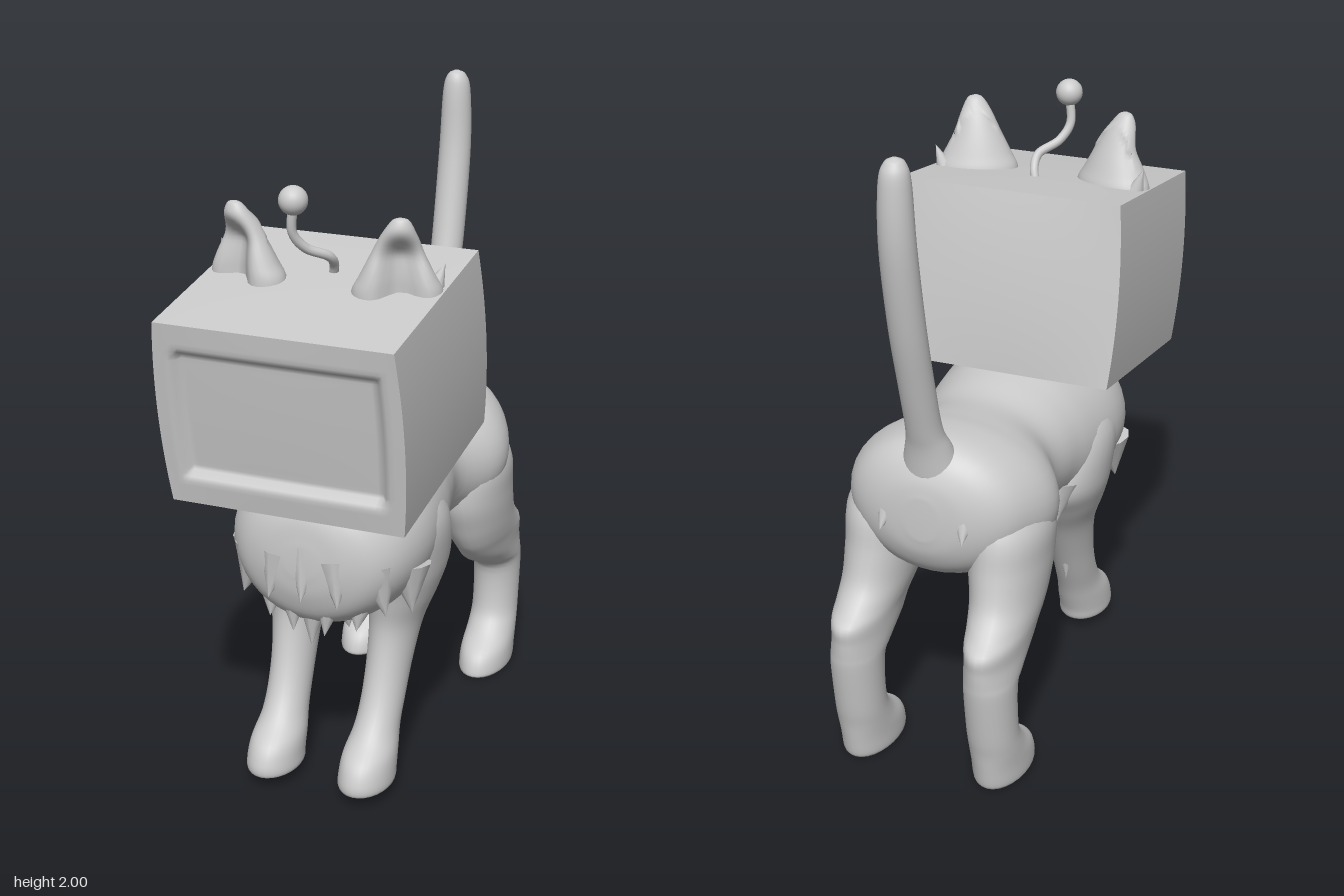
import * as THREE from 'three';

const material = new THREE.MeshStandardMaterial({ color: 0xcccccc });

function add(parent, name, geometry) {
  const mesh = new THREE.Mesh(geometry, material);
  mesh.name = name;
  parent.add(mesh);
  return mesh;
}

// Smooth skin over elliptical rings. Each row: [along, bMax, bMin, xMin, xMax].
// axis 'y': rings lie flat, rows run top to bottom, b is z.
// axis 'z': rings stand upright, rows run back to front, b is y.
function loft(rows, axis = 'y', side = 1, sides = 28, steps = 5) {
  const curve = (f) => new THREE.CatmullRomCurve3(rows.map(f), false, 'catmullrom', 0.5);
  const mid = curve(([h, b1, b0, x0, x1]) => new THREE.Vector3(side * (x0 + x1) / 2, h, (b1 + b0) / 2));
  const radius = curve(([, b1, b0, x0, x1]) => new THREE.Vector3((x1 - x0) / 2, 0, (b1 - b0) / 2));
  const n = (rows.length - 1) * steps;
  const pos = [], index = [];
  const put = (x, h, b) => (axis === 'y' ? pos.push(x, h, b) : pos.push(x, b, h));
  for (let i = 0; i <= n; i++) {
    const m = mid.getPoint(i / n), r = radius.getPoint(i / n);
    for (let j = 0; j < sides; j++) {
      const a = (j / sides) * Math.PI * 2;
      put(m.x + r.x * Math.cos(a), m.y, m.z + r.z * Math.sin(a));
      if (i === n) continue;
      const k = i * sides, p = k + j, q = k + ((j + 1) % sides);
      index.push(p, q, p + sides, q, q + sides, p + sides);
    }
  }
  // End caps
  const start = pos.length / 3, last = n * sides;
  for (const t of [0, 1]) {
    const m = mid.getPoint(t);
    put(m.x, m.y, m.z);
  }
  for (let j = 0; j < sides; j++) {
    const k = (j + 1) % sides;
    index.push(start, k, j, start + 1, last + j, last + k);
  }
  const g = new THREE.BufferGeometry();
  g.setAttribute('position', new THREE.Float32BufferAttribute(pos, 3));
  g.setIndex(index);
  g.computeVertexNormals();
  return g;
}

// Move every vertex by a rule
function reshape(g, rule) {
  const p = g.attributes.position, v = new THREE.Vector3();
  for (let i = 0; i < p.count; i++) {
    rule(v.fromBufferAttribute(p, i));
    p.setXYZ(i, v.x, v.y, v.z);
  }
  g.computeVertexNormals();
  return g;
}

// Pointed lock of fur from root to tip
function tuft(parent, root, tip, r) {
  const a = new THREE.Vector3(...root), d = new THREE.Vector3(...tip).sub(a);
  const len = d.length();
  const g = new THREE.ConeGeometry(r, len, 10, 3).translate(0, len / 2, 0);
  const mesh = add(parent, 'furTuft', g);
  mesh.position.copy(a);
  mesh.quaternion.setFromUnitVectors(new THREE.Vector3(0, 1, 0), d.normalize());
}

function buildHead() {
  const head = new THREE.Group();
  head.name = 'boxHead';
  const hx = 0.357, hy = 0.285, hz = 0.338;
  const g = new THREE.BoxGeometry(hx * 2, hy * 2, hz * 2, 48, 40, 12);
  reshape(g, (v) => {
    const u = 1 - (v.x / hx) ** 2, w = 1 - (v.y / hy) ** 2, d = 1 - (v.z / hz) ** 2;
    const front = v.z > hz - 0.001;
    // Recessed screen inside the front rim
    const edge = Math.min(0.305 - Math.abs(v.x), 0.205 - Math.abs(v.y));
    const sunk = front ? 0.028 * THREE.MathUtils.smoothstep(edge, 0, 0.022) : 0;
    const x = v.x * (1 + 0.045 * w), y = v.y * (1 + 0.02 * u * d);
    const z = v.z * (1 + (front ? 0.015 : 0.04) * u * w) - sunk;
    v.set(x, y, z);
  });
  add(head, 'screenBox', g);
  head.position.set(0, 1.318, 0.382);
  head.rotation.x = 0.15;
  return head;
}

function buildEar(side) {
  const ear = new THREE.Group();
  ear.name = side > 0 ? 'leftEar' : 'rightEar';
  const g = loft([
    [0.235, 0.05, 0.04, -0.006, 0.006],
    [0.225, 0.062, 0.022, -0.025, 0.027],
    [0.18, 0.075, -0.01, -0.055, 0.048],
    [0.12, 0.08, -0.04, -0.085, 0.07],
    [0.06, 0.085, -0.065, -0.115, 0.1],
    [0.02, 0.085, -0.08, -0.135, 0.12],
    [-0.03, 0.085, -0.085, -0.14, 0.125],
  ], 'y', 1, 32);
  // Hollow at the front
  add(ear, 'earShell', reshape(g, (v) => {
    const f = THREE.MathUtils.smoothstep(0.23 - v.y, 0.02, 0.12);
    if (v.z > 0) v.z -= 0.07 * f * Math.exp(-((v.x / 0.055) ** 2));
  }));
  tuft(ear, [0.09, 0, -0.02], [0.125, 0.09, -0.02], 0.035);
  ear.position.set(side * 0.235, 1.59, 0.4);
  ear.rotation.y = side * 0.35;
  ear.scale.x = side;
  return ear;
}

export function createModel() {
  const model = new THREE.Group();
  model.name = 'boxHeadedCat';

  // Torso, rump to chest
  add(model, 'torso', loft([
    [-0.588, 0.93, 0.8, -0.05, 0.05],
    [-0.575, 0.99, 0.74, -0.14, 0.14],
    [-0.54, 1.05, 0.68, -0.22, 0.22],
    [-0.48, 1.085, 0.64, -0.275, 0.275],
    [-0.37, 1.085, 0.6, -0.318, 0.318],
    [-0.27, 1.07, 0.6, -0.312, 0.312],
    [-0.13, 1.055, 0.63, -0.24, 0.24],
    [0, 1.075, 0.61, -0.258, 0.258],
    [0.12, 1.09, 0.56, -0.285, 0.285],
    [0.3, 1.08, 0.55, -0.305, 0.305],
    [0.44, 1.05, 0.56, -0.28, 0.28],
    [0.53, 1.0, 0.6, -0.22, 0.22],
    [0.57, 0.94, 0.68, -0.14, 0.14],
    [0.583, 0.85, 0.76, -0.05, 0.05],
  ], 'z', 1, 40));

  // Tail
  add(model, 'tail', loft([
    [2.0, -0.7, -0.715, -0.008, 0.008],
    [1.985, -0.678, -0.738, -0.03, 0.03],
    [1.93, -0.665, -0.755, -0.045, 0.045],
    [1.75, -0.65, -0.752, -0.052, 0.052],
    [1.5, -0.6, -0.705, -0.053, 0.053],
    [1.3, -0.545, -0.65, -0.052, 0.052],
    [1.15, -0.5, -0.605, -0.054, 0.054],
    [1.08, -0.46, -0.585, -0.07, 0.07],
    [0.98, -0.4, -0.57, -0.1, 0.1],
  ]));

  for (const s of [1, -1]) {
    const label = s > 0 ? 'left' : 'right';
    add(model, label + 'FrontLeg', loft([
      [0.98, 0.3, 0.14, 0.12, 0.22],
      [0.85, 0.38, 0.05, 0.08, 0.305],
      [0.7, 0.385, 0.0, 0.07, 0.305],
      [0.6, 0.365, 0.05, 0.075, 0.28],
      [0.5, 0.35, 0.115, 0.085, 0.245],
      [0.38, 0.37, 0.18, 0.09, 0.228],
      [0.27, 0.41, 0.235, 0.09, 0.222],
      [0.19, 0.465, 0.275, 0.085, 0.222],
      [0.13, 0.54, 0.3, 0.073, 0.232],
      [0.08, 0.568, 0.32, 0.07, 0.236],
      [0.045, 0.57, 0.33, 0.07, 0.235],
      [0.035, 0.55, 0.345, 0.085, 0.22],
    ], 'y', s));
    add(model, label + 'RearLeg', loft([
      [0.95, -0.27, -0.45, 0.1, 0.24],
      [0.82, -0.19, -0.54, 0.07, 0.315],
      [0.7, -0.18, -0.565, 0.08, 0.32],
      [0.6, -0.215, -0.595, 0.1, 0.315],
      [0.54, -0.245, -0.65, 0.115, 0.31],
      [0.5, -0.275, -0.698, 0.125, 0.305],
      [0.45, -0.33, -0.698, 0.13, 0.3],
      [0.4, -0.42, -0.695, 0.135, 0.298],
      [0.35, -0.485, -0.69, 0.14, 0.296],
      [0.2, -0.485, -0.665, 0.142, 0.296],
      [0.13, -0.44, -0.65, 0.14, 0.3],
      [0.07, -0.36, -0.64, 0.136, 0.304],
      [0.015, -0.335, -0.63, 0.136, 0.304],
      [0, -0.345, -0.62, 0.145, 0.295],
    ], 'y', s));
    model.add(buildEar(s));

    // Chest, belly, elbow and rump fur
    const fur = new THREE.Group();
    fur.name = label + 'Fur';
    const locks = [
      [[0.09, 0.8, 0.53], [0.11, 0.67, 0.575], 0.06],
      [[0.19, 0.78, 0.47], [0.23, 0.63, 0.49], 0.07],
      [[0.06, 0.7, 0.5], [0.05, 0.55, 0.53], 0.06],
      [[0.14, 0.68, 0.46], [0.14, 0.57, 0.5], 0.06],
      [[0.25, 0.75, 0.36], [0.27, 0.6, 0.38], 0.07],
      [[0.06, 0.62, 0.4], [0.08, 0.53, 0.41], 0.05],
      [[0.19, 0.72, 0.04], [0.2, 0.59, 0.0], 0.07],
      [[0.1, 0.66, -0.06], [0.1, 0.54, -0.1], 0.06],
      [[0.16, 0.42, 0.23], [0.16, 0.265, 0.22], 0.045],
      [[0.12, 0.88, -0.54], [0.13, 0.81, -0.595], 0.04],
    ];
    for (const [[x, y, z], [tx, ty, tz], r] of locks) tuft(fur, [s * x, y, z], [s * tx, ty, tz], r);
    model.add(fur);
  }

  // Fur along the centre line
  const centreFur = new THREE.Group();
  centreFur.name = 'centreFur';
  tuft(centreFur, [0, 0.83, 0.53], [0, 0.68, 0.59], 0.06);
  tuft(centreFur, [0, 0.69, 0.49], [0, 0.5, 0.51], 0.06);
  tuft(centreFur, [0, 0.68, 0.0], [0, 0.52, 0.02], 0.06);
  tuft(centreFur, [0, 0.68, -0.02], [0, 0.5, -0.04], 0.07);
  tuft(centreFur, [0, 0.7, -0.11], [0, 0.55, -0.17], 0.07);
  model.add(centreFur);

  model.add(buildHead());

  // Antenna: bent wire and ball
  const wire = [[0, 1.59, 0.33], [0.015, 1.64, 0.35], [0.015, 1.675, 0.385], [-0.035, 1.71, 0.44],
    [-0.06, 1.76, 0.47], [-0.05, 1.85, 0.48]].map((p) => new THREE.Vector3(...p));
  add(model, 'antennaWire', new THREE.TubeGeometry(new THREE.CatmullRomCurve3(wire), 40, 0.014, 10));
  add(model, 'antennaBall', new THREE.SphereGeometry(0.042, 24, 16)).position.set(-0.05, 1.855, 0.483);

  return model;
}
